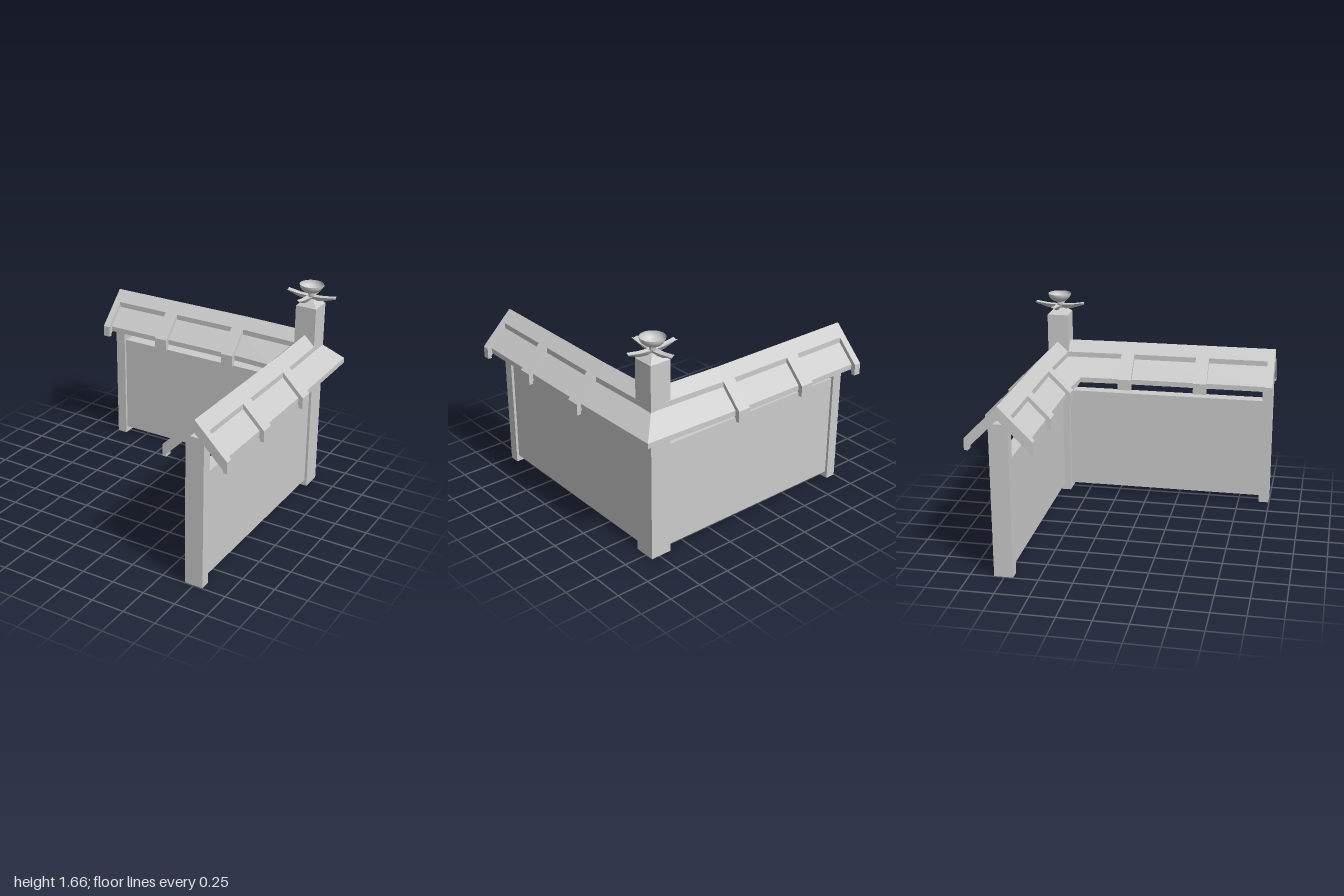
import * as THREE from 'three';

const mat = new THREE.MeshStandardMaterial({ color: 0xcccccc, flatShading: true });
const smooth = new THREE.MeshStandardMaterial({ color: 0xcccccc, side: THREE.DoubleSide });
const CORNER = 0.735; // corner post axis: x = CORNER, z = -CORNER

function add(parent, name, geometry, x = 0, y = 0, z = 0, material = mat) {
  const mesh = new THREE.Mesh(geometry, material);
  mesh.name = name;
  mesh.position.set(x, y, z);
  parent.add(mesh);
  return mesh;
}

function box(parent, name, [x0, x1], [y0, y1], [z0, z1]) {
  return add(parent, name, new THREE.BoxGeometry(x1 - x0, y1 - y0, z1 - z0),
    (x0 + x1) / 2, (y0 + y1) / 2, (z0 + z1) / 2);
}

// Skin closed loops of [x, y, z] points, running towards +x
function skin(loops, capEnd = false) {
  const pos = [];
  const tri = (...pts) => pts.forEach((p) => pos.push(...p));
  const n = loops[0].length;
  for (let i = 0; i < loops.length - 1; i++) {
    for (let j = 0; j < n; j++) {
      const k = (j + 1) % n;
      const [a, b, c, d] = [loops[i][j], loops[i][k], loops[i + 1][k], loops[i + 1][j]];
      tri(a, b, c);
      tri(a, c, d);
    }
  }
  const end = loops[loops.length - 1];
  if (capEnd) for (let j = 1; j < n - 1; j++) tri(end[0], end[j], end[j + 1]);
  const g = new THREE.BufferGeometry();
  g.setAttribute('position', new THREE.Float32BufferAttribute(pos, 3));
  g.computeVertexNormals();
  return g;
}

// Complete a half profile [offset, y] whose first and last points lie on the centre line
const mirrored = (half) => [...half, ...half.slice(1, -1).reverse().map(([v, y]) => [-v, y])];

// Roof section: raised ridge cap over thinner sloping panels
const roofProfile = mirrored([[0, 1.28], [0.08, 1.2], [0.08, 1.16], [0.21, 1.03], [0.21, 0.99], [0, 1.2]]);
// Rafter section: thicker slope with a hooked foot
const rafterProfile = mirrored([[0, 1.28], [0.245, 1.035], [0.245, 0.95], [0.215, 0.95], [0.215, 0.97], [0, 1.185]]);

// One wall with its roof, running along local +x to the corner.
// ridge: distance of the ridge line from the centre; side: local z sign of the outer slope
function wing(name, ridge, side, rafters) {
  const g = new THREE.Group();
  g.name = name;
  box(g, 'wallPanel', [-0.92, 0.67], [0.05, 0.86], [-0.05, 0.05]);
  box(g, 'endPost', [-0.995, -0.915], [0, 1.15], [-0.07, 0.07]);

  // Straight run, then a slight shift to the mitre at the corner
  const straight = (u) => roofProfile.map(([v, y]) => [u, y, v]);
  const mitre = roofProfile.map(([v, y]) => [CORNER + side * v, y, v + side * (CORNER - ridge)]);
  add(g, 'roof', skin([straight(-0.98), straight(0.19), mitre]));

  const shape = new THREE.Shape(rafterProfile.map(([v, y]) => new THREE.Vector2(v, y)));
  for (const [u0, u1] of rafters) {
    const geo = new THREE.ExtrudeGeometry(shape, { depth: u1 - u0, bevelEnabled: false });
    add(g, 'rafter', geo.rotateY(Math.PI / 2), u0);
  }
  return g;
}

// Corner post top: sloped cap, four folded petals and a bowl
function finial() {
  const g = new THREE.Group();
  g.name = 'finial';
  const cap = new THREE.CylinderGeometry(0.035 * Math.SQRT2, 0.0825 * Math.SQRT2, 0.045, 4);
  add(g, 'postCap', cap.rotateY(Math.PI / 4), 0, 1.5225);

  const w = 0.024;
  const petal = skin([[0, 1.57, 1.53], [0.1, 1.575, 1.542], [0.195, 1.59, 1.572]].map(([r, top, keel]) =>
    [[r, top - 0.008, 0], [r, top, w], [r, keel, 0], [r, top, -w]]), true);
  for (let i = 0; i < 4; i++) add(g, 'petal', petal).rotation.y = (i * Math.PI) / 2;

  add(g, 'bowlStem', new THREE.CylinderGeometry(0.025, 0.018, 0.05, 12), 0, 1.575);
  const curve = [];
  for (let i = 0; i <= 10; i++) {
    const a = (i / 10) * Math.PI / 2;
    curve.push(new THREE.Vector2(0.09 * Math.sin(a), 1.66 - 0.07 * Math.cos(a)));
  }
  add(g, 'bowl', new THREE.LatheGeometry(curve, 32), 0, 0, 0, smooth);
  g.position.set(CORNER, 0, -CORNER);
  return g;
}

export function createModel() {
  const model = new THREE.Group();
  model.name = 'cornerWall';

  const back = wing('backWing', 0.755, -1, [[-1, -0.945], [-0.505, -0.4], [0.1, 0.2]]);
  back.position.z = -0.755;
  const left = wing('leftWing', 0.748, 1, [[-1, -0.945], [-0.485, -0.38], [0.115, 0.22]]);
  left.rotation.y = Math.PI / 2;
  left.position.x = 0.748;
  model.add(back, left);

  const [a, b] = [CORNER - 0.0825, CORNER + 0.0825];
  box(model, 'cornerPost', [a, b], [0, 1.5], [-b, -a]);
  model.add(finial());
  return model;
}
